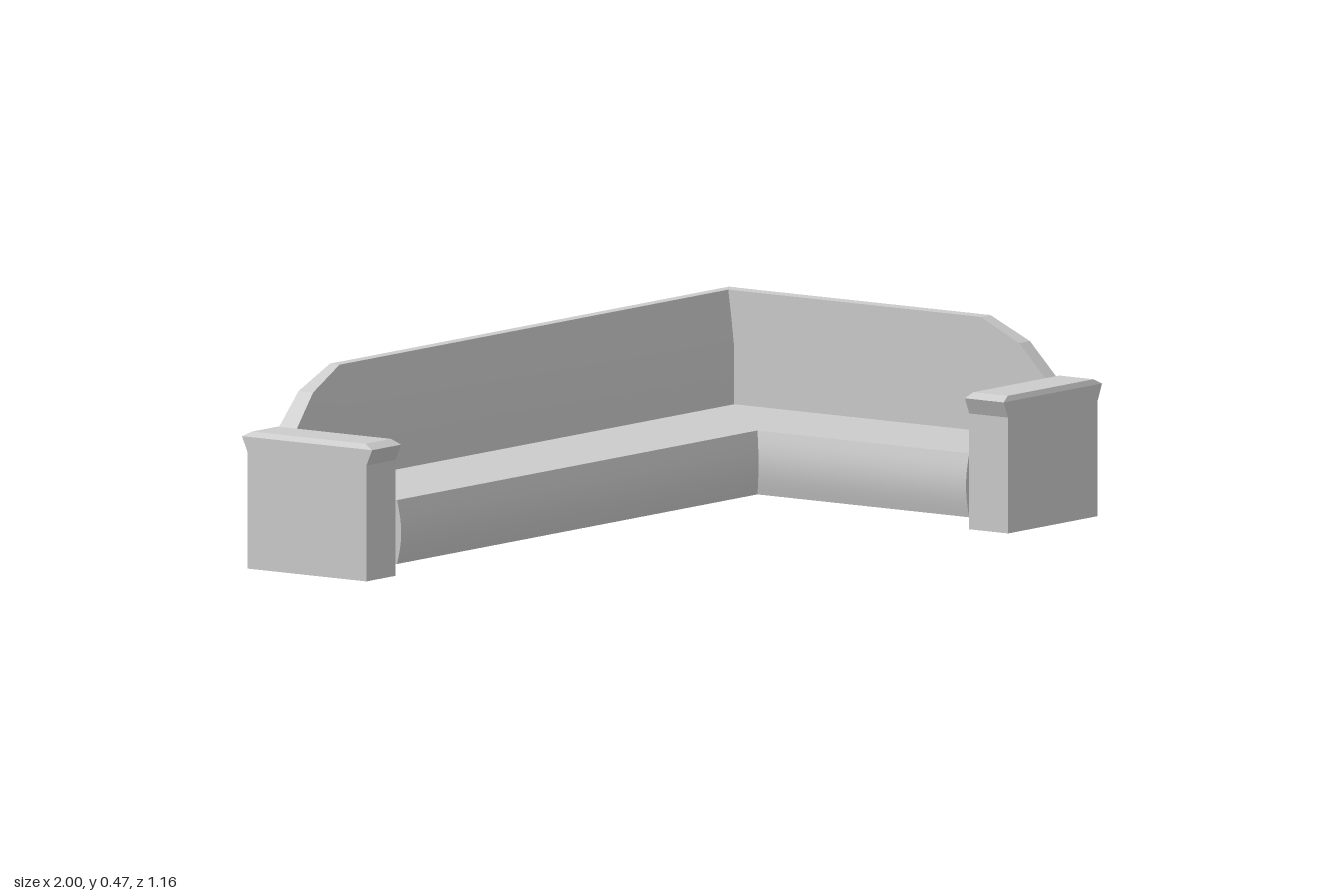
import * as THREE from 'three';
import { toCreasedNormals } from 'three/addons/utils/BufferGeometryUtils.js';

const material = new THREE.MeshStandardMaterial({ color: 0xcccccc });

// Closed solid through equal-length rings of [x, y, z] points, ends capped, facing outward.
function loft(name, rings) {
  const n = rings[0].length;
  const points = rings.flat();
  const index = [];
  for (let i = 0; i < rings.length - 1; i++) {
    for (let j = 0; j < n; j++) {
      const a = i * n + j, b = i * n + (j + 1) % n;
      index.push(a, b, b + n, a, b + n, a + n);
    }
  }
  [0, rings.length - 1].forEach((r, end) => {
    const centre = points.length;
    points.push([0, 1, 2].map(k => rings[r].reduce((s, p) => s + p[k], 0) / n));
    for (let j = 0; j < n; j++) {
      const a = r * n + j, b = r * n + (j + 1) % n;
      if (end) index.push(centre, a, b);
      else index.push(centre, b, a);
    }
  });
  // A negative volume means the faces point inward, so turn them round
  const v = points.map(p => new THREE.Vector3(...p));
  let volume = 0;
  for (let i = 0; i < index.length; i += 3) {
    volume += v[index[i]].dot(v[index[i + 1]].clone().cross(v[index[i + 2]]));
  }
  if (volume < 0) index.reverse();
  const geometry = new THREE.BufferGeometry();
  geometry.setAttribute('position', new THREE.Float32BufferAttribute(points.flat(), 3));
  geometry.setIndex(index);
  const mesh = new THREE.Mesh(toCreasedNormals(geometry, 0.35), material);
  mesh.name = name;
  return mesh;
}

// Linear interpolation in a list of [key, value] pairs
function sample(table, t) {
  for (let i = 1; i < table.length; i++) {
    const [a, va] = table[i - 1], [b, vb] = table[i];
    if (t <= b) return va + (vb - va) * Math.max(0, (t - a) / (b - a));
  }
  return table[table.length - 1][1];
}

// Backrest: stations are [position along, top height]; faces are [height, depth] lists
function backrest(name, stations, outer, inner, place) {
  const up = [0, 0.2, 0.33, 0.42, 0.475];
  return loft(name, stations.map(([s, top]) => {
    const ys = up.map((y, i) => (i < 2 ? y : Math.min(y, top - (4 - i) * 0.0005)));
    return [
      ...ys.map(y => place(s, y, sample(outer, y))),
      ...ys.slice().reverse().map(y => place(s, y, sample(inner, y))),
    ];
  }));
}

// Seat: flat top and a softly bulging front
function seat(name, from, to, back, front, place) {
  const section = [[back, 0.03], [back, 0.19]];
  const bulge = 0.013 * Math.sign(front - back);
  for (let i = 0; i <= 10; i++) {
    section.push([front + bulge * Math.sin(Math.PI * i / 10), 0.19 - 0.016 * i]);
  }
  return loft(name, [from, to].map(s => section.map(([d, y]) => place(s, y, d))));
}

// Arm: block whose top flares out at both ends and is chamfered
function arm(name, from, to, thick0, thick1, place) {
  const rows = [[0, 0, 0], [0.29, 0, 0], [0.33, 0.018, 0], [0.343, -0.008, 0.007]];
  return loft(name, rows.map(([y, flare, inset]) => [
    place(from - flare, y, thick0 + inset),
    place(to + flare, y, thick0 + inset),
    place(to + flare, y, thick1 - inset),
    place(from - flare, y, thick1 - inset),
  ]));
}

export function createModel() {
  const group = new THREE.Group();
  group.name = 'cornerBench';

  const alongX = (s, y, d) => [s, y, d];
  const alongZ = (s, y, d) => [d, y, s];

  // Long wing at the back, short wing running forward on the left
  group.add(
    backrest('longBackrest',
      [[-0.88, 0.33], [-0.79, 0.42], [-0.67, 0.475], [0.98, 0.475]],
      [[0, -0.567], [0.42, -0.567], [0.475, -0.56]],
      [[0, -0.51], [0.33, -0.511], [0.42, -0.522], [0.475, -0.53]], alongX),
    backrest('shortBackrest',
      [[-0.535, 0.475], [0.25, 0.475], [0.37, 0.42], [0.46, 0.33]],
      [[0, 0.981], [0.42, 0.981], [0.475, 0.978]],
      [[0, 0.935], [0.475, 0.937]], alongZ),
    seat('longSeat', -0.88, 0.612, -0.515, -0.195, alongX),
    seat('shortSeat', -0.515, 0.46, 0.94, 0.61, alongZ),
    arm('longWingArm', -0.567, -0.2, -1, -0.88, alongX === null ? alongX : (s, y, d) => [d, y, s]),
    arm('shortWingArm', 0.61, 0.981, 0.46, 0.58, alongX),
  );
  return group;
}
